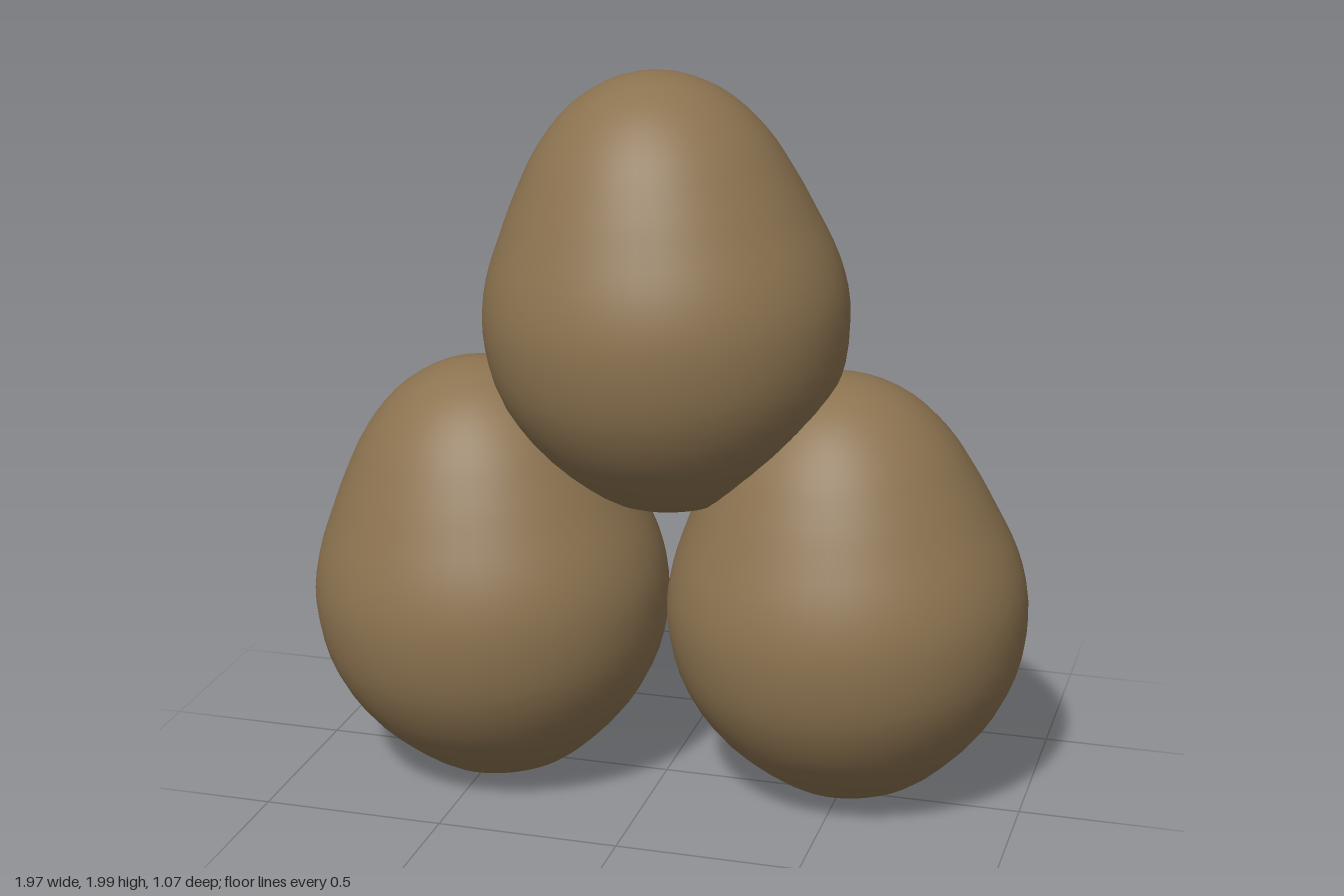
import * as THREE from 'three';

export function createModel() {
  const group = new THREE.Group();
  const material = new THREE.MeshStandardMaterial({ color: 0x8c7350 });

  // Egg profile: radius and height, from the blunt base to the narrower tip
  const profile = new THREE.SplineCurve([
    [0, 0], [0.1, 0.011], [0.21, 0.053], [0.36, 0.19], [0.452, 0.35], [0.482, 0.52],
    [0.463, 0.66], [0.408, 0.8], [0.362, 0.9], [0.3, 1.01], [0.21, 1.11], [0.1, 1.172], [0, 1.19],
  ].map(([r, h]) => new THREE.Vector2(r, h - 0.595)));
  const points = profile.getPoints(40);
  points.forEach((p) => { p.x = Math.max(p.x, 0); });
  points[0].x = points[points.length - 1].x = 0;

  // Slightly wider sideways than deep, tip leaning a little to one side
  const egg = new THREE.LatheGeometry(points, 48);
  egg.scale(1.025, 1, 1);
  egg.rotateZ(0.078);

  // Two eggs side by side, staggered in depth, with one resting on top
  const eggs = [
    ['topEgg', -0.005, 1.405, 0.008],
    ['rightEgg', -0.495, 0.6, 0.052],
    ['leftEgg', 0.491, 0.6, -0.057],
  ];
  for (const [name, x, y, z] of eggs) {
    const mesh = new THREE.Mesh(egg, material);
    mesh.name = name;
    mesh.position.set(x, y, z);
    group.add(mesh);
  }
  return group;
}
